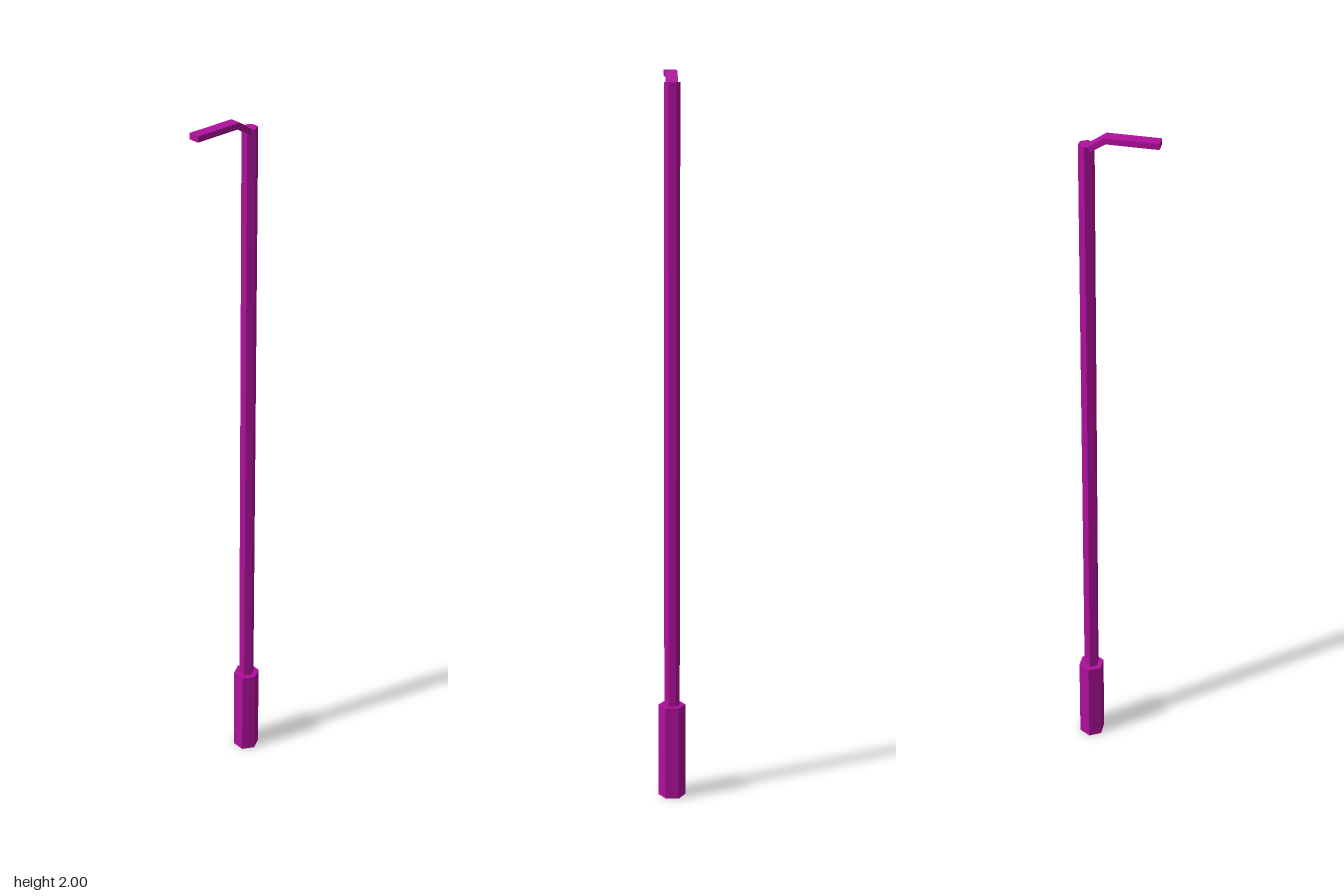
import * as THREE from 'three';

export function createModel() {
  const group = new THREE.Group();
  group.name = 'streetLamp';
  const material = new THREE.MeshStandardMaterial({ color: 0xb0109c, flatShading: true });
  const poleZ = -0.078;

  const add = (name, geometry) => {
    const mesh = new THREE.Mesh(geometry, material);
    mesh.name = name;
    group.add(mesh);
    return mesh;
  };

  // Hexagonal prism with corners pointing to both sides
  const hexPrism = (name, radius, bottom, top) => {
    const geometry = new THREE.CylinderGeometry(radius, radius, top - bottom, 6, 1, false, Math.PI / 6);
    add(name, geometry).position.set(0, (bottom + top) / 2, poleZ);
  };
  hexPrism('base', 0.0375, 0, 0.266);
  hexPrism('pole', 0.0215, 0.266, 1.972);

  // Bent flat arm: side profile as (z, y), extruded across x
  const armWidth = 0.032;
  const profile = [
    [-0.07, 1.972], [-0.07, 1.955], [-0.025, 1.984],
    [0.109, 1.984], [0.109, 2], [-0.03, 2],
  ].map(([z, y]) => new THREE.Vector2(z, y));
  const arm = new THREE.ExtrudeGeometry(new THREE.Shape(profile), { depth: armWidth, bevelEnabled: false });
  arm.translate(0, 0, -armWidth / 2);
  arm.rotateY(-Math.PI / 2);
  add('lampArm', arm);

  return group;
}
